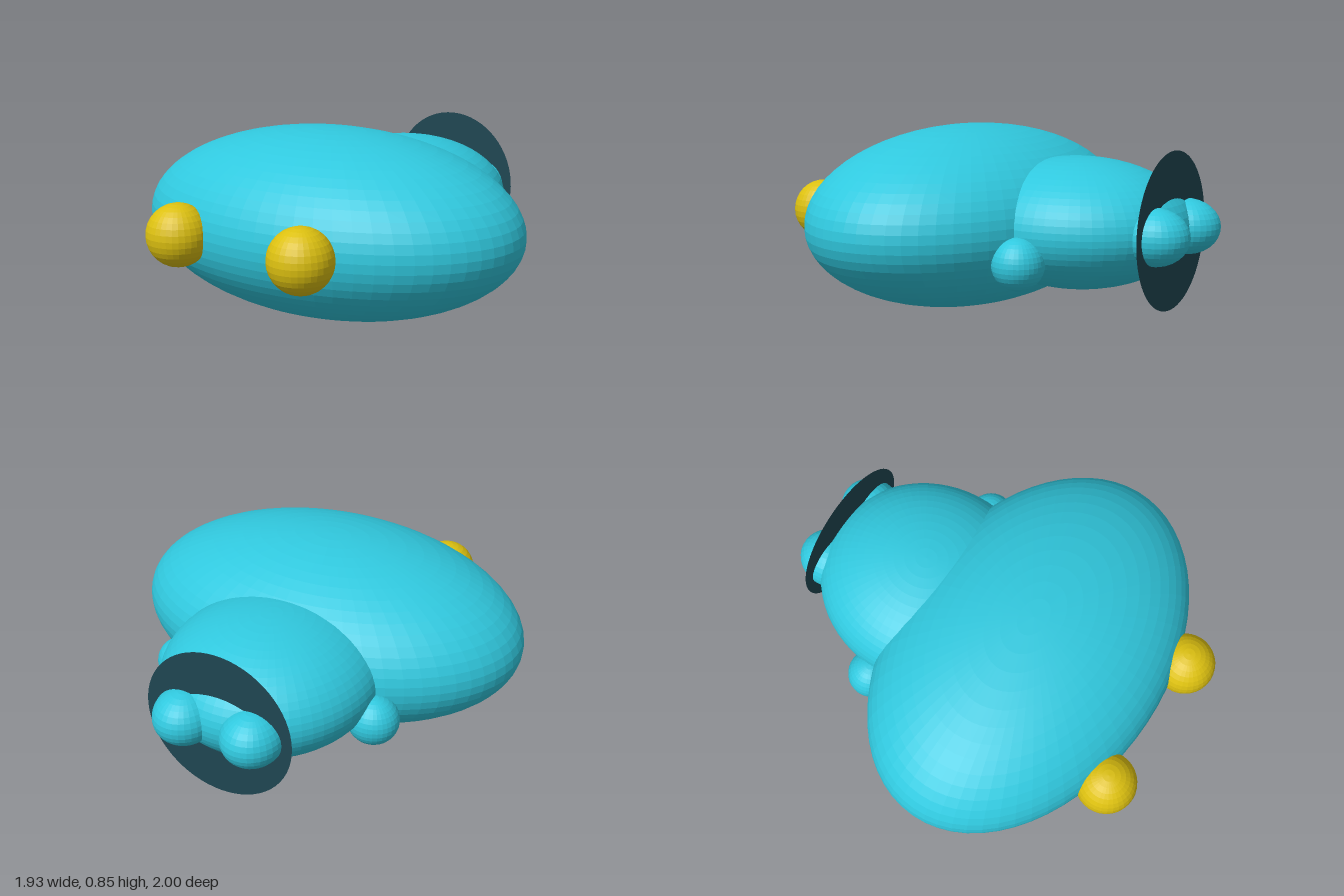
import * as THREE from 'three';

export function createModel() {
  const group = new THREE.Group();
  group.name = 'roundCreature';

  const paint = (name, color) => {
    const m = new THREE.MeshStandardMaterial({ color, flatShading: true });
    m.name = name;
    return m;
  };
  const teal = paint('teal', 0x30c8de);
  const yellow = paint('yellow', 0xdcc010);
  const darkTeal = paint('darkTeal', 0x1f4652);
  darkTeal.side = THREE.DoubleSide;

  // An ellipsoid with the given centre and radii
  const ellipsoid = (name, material, centre, radii, segments) => {
    const mesh = new THREE.Mesh(new THREE.SphereGeometry(1, segments, segments / 2), material);
    mesh.name = name;
    mesh.position.set(...centre);
    mesh.scale.set(...radii);
    group.add(mesh);
  };

  // Wide head and the smaller body behind it
  ellipsoid('head', teal, [0, 0.43, 0.215], [0.965, 0.427, 0.65], 64);
  ellipsoid('body', teal, [0, 0.436, -0.375], [0.5, 0.3, 0.54], 64);

  // Paired eyes, side fins and rear lobes
  for (const [side, s] of [['left', 1], ['right', -1]]) {
    ellipsoid(side + 'Eye', yellow, [s * 0.345, 0.436, 0.858], [0.143, 0.143, 0.142], 32);
    ellipsoid(side + 'Fin', teal, [s * 0.5, 0.32, -0.362], [0.12, 0.116, 0.116], 32);
    ellipsoid(side + 'RearLobe', teal, [s * 0.167, 0.433, -0.845], [0.14, 0.127, 0.155], 32);
  }

  // Flat upright disc around the tail end
  const disc = new THREE.Mesh(new THREE.CircleGeometry(0.356, 64), darkTeal);
  disc.name = 'tailDisc';
  disc.position.set(0, 0.435, -0.85);
  group.add(disc);

  return group;
}
